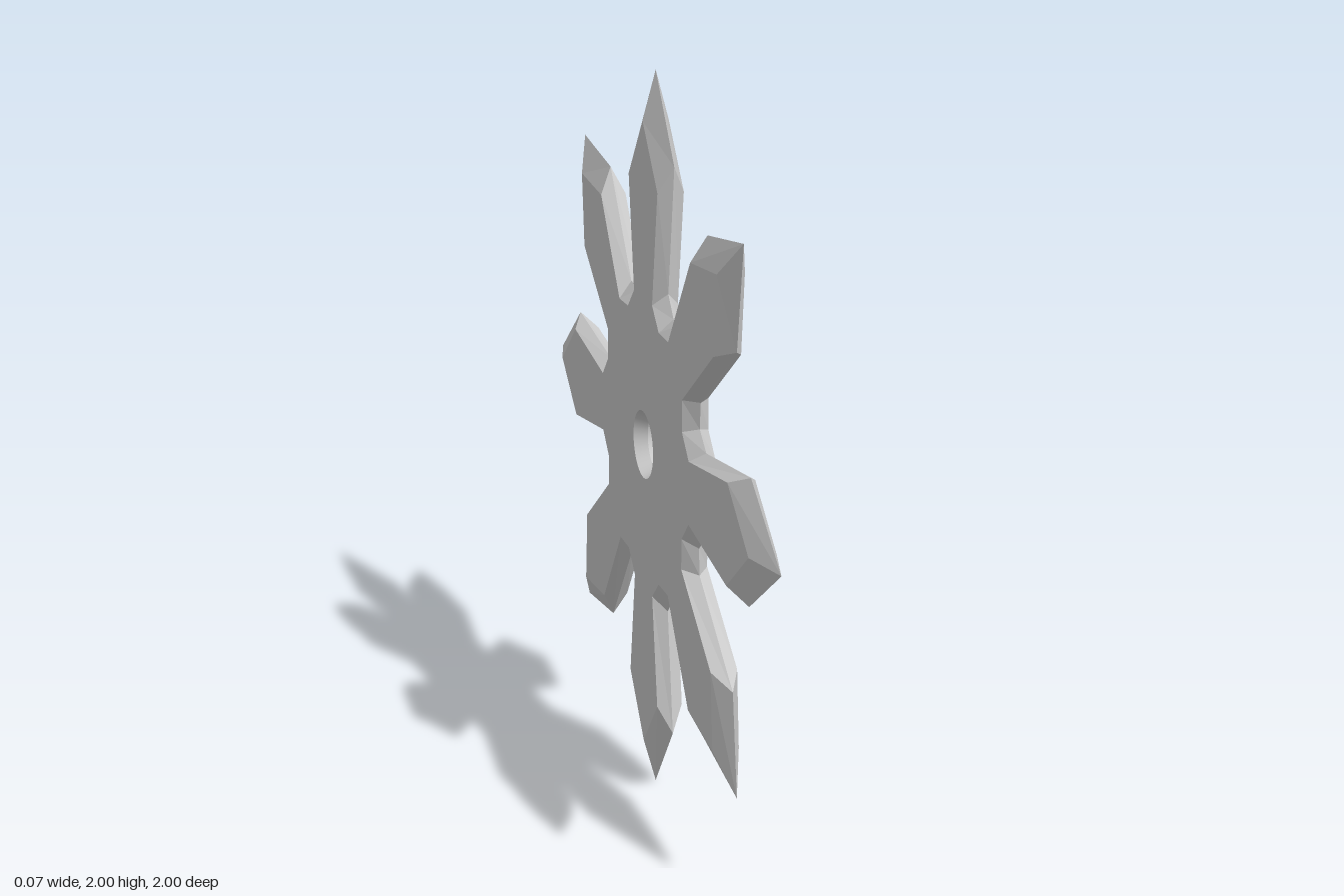
import * as THREE from 'three';

const BLADES = 8, HALF = 0.035;

// Closed star outline, counter-clockwise; the profile is [radius, degrees] over one blade pitch
function starOutline(tip, [shoulderR, shoulderA], [rootR, rootA], gapR) {
  const profile = [
    [tip, 0], [shoulderR, shoulderA], [rootR, rootA],
    [gapR, 22.5],
    [rootR, 45 - rootA], [shoulderR, 45 - shoulderA],
  ];
  const points = [];
  for (let k = 0; k < BLADES; k++) {
    for (const [r, deg] of profile) {
      const a = THREE.MathUtils.degToRad(deg + k * 45);
      points.push(new THREE.Vector2(r * Math.cos(a), r * Math.sin(a)));
    }
  }
  return points;
}

// Sloped band from the sharp middle edge up to the flat face
function bevelGeometry(edge, face) {
  const pos = [];
  edge.forEach((p, i) => {
    const j = (i + 1) % edge.length;
    const a = [p.x, p.y, 0], b = [edge[j].x, edge[j].y, 0];
    const c = [face[j].x, face[j].y, HALF], d = [face[i].x, face[i].y, HALF];
    pos.push(...a, ...b, ...c, ...a, ...c, ...d);
  });
  const geo = new THREE.BufferGeometry();
  geo.setAttribute('position', new THREE.Float32BufferAttribute(pos, 3));
  geo.computeVertexNormals();
  return geo;
}

export function createModel() {
  const model = new THREE.Group();
  model.name = 'throwingStar';
  const flat = new THREE.MeshStandardMaterial({ color: 0xcccccc, flatShading: true });
  const smooth = new THREE.MeshStandardMaterial({ color: 0xcccccc });

  const edge = starOutline(1, [0.797, 11.8], [0.455, 14.5], 0.417);
  const face = starOutline(0.87, [0.722, 10.5], [0.414, 11.7], 0.376);

  // Flat face with the centre hole
  const shape = new THREE.Shape(face);
  shape.holes.push(new THREE.Path().absarc(0, 0, 0.093, 0, Math.PI * 2, true));
  const faceGeo = new THREE.ShapeGeometry(shape, 16).translate(0, 0, HALF);

  const bevelGeo = bevelGeometry(edge, face);

  // Chamfered wall of the hole, facing inward
  const holeGeo = new THREE.LatheGeometry(
    [new THREE.Vector2(0.093, HALF), new THREE.Vector2(0.075, 0)], 32
  ).rotateX(Math.PI / 2);

  // Two identical halves back to back
  for (const [name, side] of [['left', 1], ['right', -1]]) {
    const half = new THREE.Group();
    half.name = name + 'Half';
    const add = (part, geo, mat) => {
      const mesh = new THREE.Mesh(geo, mat);
      mesh.name = name + part;
      half.add(mesh);
    };
    add('Face', faceGeo, flat);
    add('BladeBevel', bevelGeo, flat);
    add('HoleChamfer', holeGeo, smooth);
    half.rotation.y = side * Math.PI / 2;
    half.position.y = 1;
    model.add(half);
  }
  return model;
}
